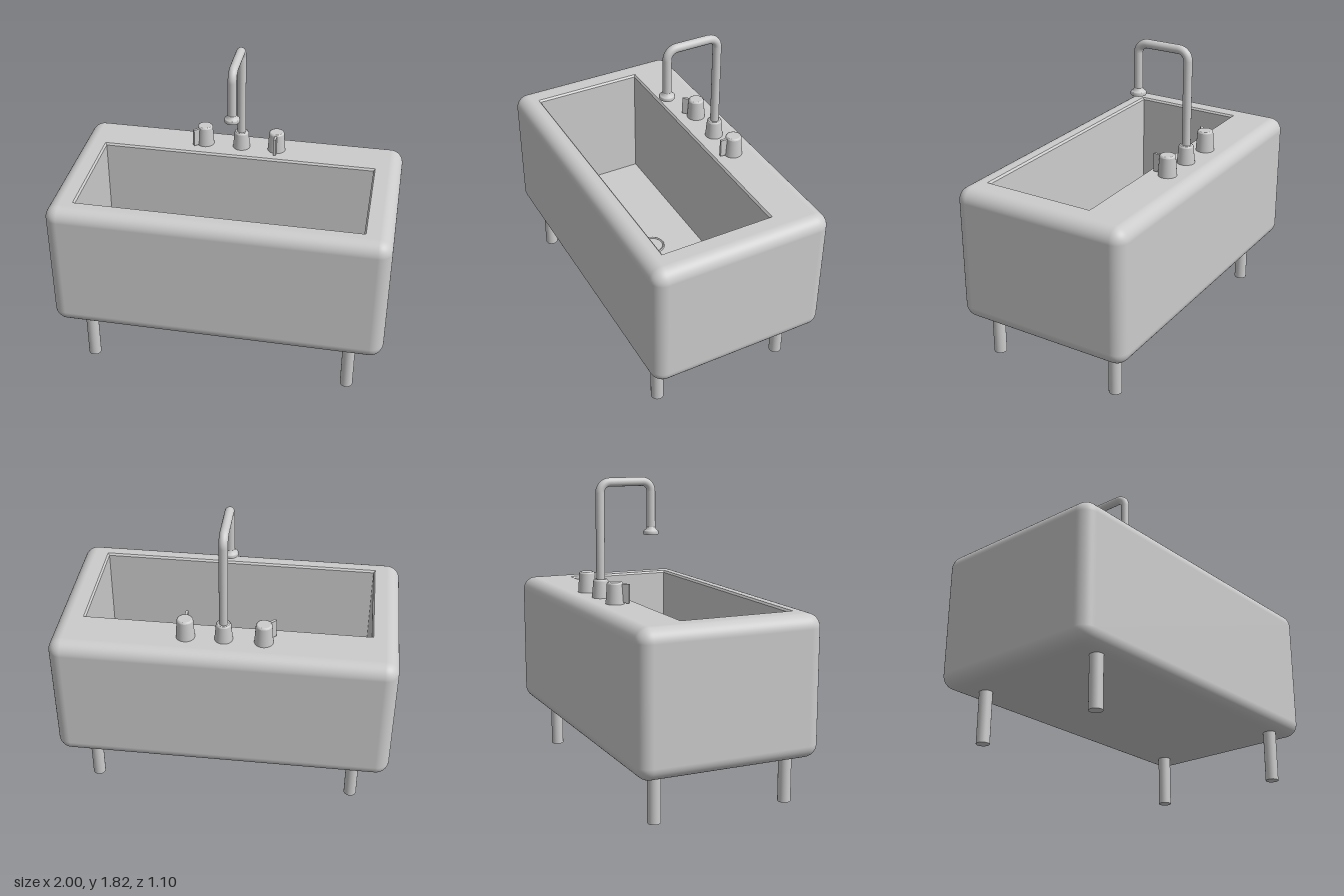
import * as THREE from 'three';
import { RoundedBoxGeometry } from 'three/addons/geometries/RoundedBoxGeometry.js';

const material = new THREE.MeshStandardMaterial({ color: 0xcccccc });
const doubleSided = new THREE.MeshStandardMaterial({ color: 0xcccccc, side: THREE.DoubleSide });

const TOP = 1.12, BOTTOM = 0.3, RADIUS = 0.08, FLOOR = 0.4;
const BASIN = { x0: -0.848, x1: 0.842, z0: -0.253, z1: 0.433 };

function add(parent, name, geometry, x = 0, y = 0, z = 0, mat = material) {
  const mesh = new THREE.Mesh(geometry, mat);
  mesh.name = name;
  mesh.position.set(x, y, z);
  parent.add(mesh);
  return mesh;
}

// Lathe from [radius, height] pairs; doubled points keep edges crisp
function turned(points, segments = 32) {
  return new THREE.LatheGeometry(points.map(([r, y]) => new THREE.Vector2(r, y)), segments);
}

// Rounded box whose flat top face is left out
function openTopBox(w, h, d, r) {
  const source = new RoundedBoxGeometry(w, h, d, 6, r);
  const flat = source.index ? source.toNonIndexed() : source;
  const p = flat.attributes.position, n = flat.attributes.normal;
  const positions = [], normals = [];
  for (let i = 0; i < p.count; i += 3) {
    if ([0, 1, 2].every((k) => p.getY(i + k) > h / 2 - 1e-4)) continue;
    for (let k = i; k < i + 3; k++) {
      positions.push(p.getX(k), p.getY(k), p.getZ(k));
      normals.push(n.getX(k), n.getY(k), n.getZ(k));
    }
  }
  const geometry = new THREE.BufferGeometry();
  geometry.setAttribute('position', new THREE.Float32BufferAttribute(positions, 3));
  geometry.setAttribute('normal', new THREE.Float32BufferAttribute(normals, 3));
  return geometry;
}

// Flat rim with the basin opening cut out
function rimGeometry() {
  const x = 1 - RADIUS, z = 0.55 - RADIUS;
  const shape = new THREE.Shape([[-x, -z], [x, -z], [x, z], [-x, z]].map((c) => new THREE.Vector2(...c)));
  const { x0, x1, z0, z1 } = BASIN;
  shape.holes.push(new THREE.Path([[x0, -z0], [x1, -z0], [x1, -z1], [x0, -z1]].map((c) => new THREE.Vector2(...c))));
  return new THREE.ShapeGeometry(shape).rotateX(-Math.PI / 2);
}

// Basin interior: a small chamfer, straight walls and a flat floor
function basinGeometry() {
  const loops = [[0, TOP], [0.01, TOP - 0.012], [0.012, FLOOR]].map(([inset, y]) => {
    const { x0, x1, z0, z1 } = BASIN;
    return [
      [x0 + inset, y, z0 + inset], [x1 - inset, y, z0 + inset],
      [x1 - inset, y, z1 - inset], [x0 + inset, y, z1 - inset],
    ];
  });
  const positions = [];
  const quad = (a, b, c, d) => positions.push(...a, ...b, ...c, ...a, ...c, ...d);
  for (let i = 0; i < loops.length - 1; i++) {
    for (let j = 0; j < 4; j++) {
      const k = (j + 1) % 4;
      quad(loops[i][j], loops[i + 1][j], loops[i + 1][k], loops[i][k]);
    }
  }
  const [a, b, c, d] = loops[loops.length - 1];
  quad(a, d, c, b);
  const geometry = new THREE.BufferGeometry();
  geometry.setAttribute('position', new THREE.Float32BufferAttribute(positions, 3));
  geometry.computeVertexNormals();
  return geometry;
}

// Tap knob with a thin lever fin pointing outwards at the given angle
function createTap(name, x, angle) {
  const tap = new THREE.Group();
  tap.name = name;
  tap.position.set(x, TOP, -0.37);
  tap.rotation.y = angle;
  add(tap, 'knob', turned([
    [0.055, 0], [0.047, 0.115], [0.047, 0.115], [0.044, 0.122], [0.038, 0.125], [0.038, 0.125], [0, 0.125],
  ]));
  add(tap, 'lever', new THREE.BoxGeometry(0.015, 0.11, 0.055), 0, 0.062, 0.06);
  return tap;
}

function createFaucet() {
  const faucet = new THREE.Group();
  faucet.name = 'faucet';
  const back = -0.367, front = -0.043, top = 1.793, bend = 0.06;
  add(faucet, 'faucetBase', turned([
    [0.053, 0], [0.044, 0.1], [0.044, 0.1], [0.041, 0.107], [0.036, 0.11], [0.036, 0.11], [0, 0.11],
  ]), 0, TOP, back);

  // Spout pipe: straight runs joined by round bends
  const v = (y, z) => new THREE.Vector3(0, y, z);
  const pipe = (curve, steps) => add(faucet, 'spoutPipe', new THREE.TubeGeometry(curve, steps, 0.026, 20));
  const k = bend * 0.4477;
  pipe(new THREE.LineCurve3(v(TOP, back), v(top - bend, back)), 1);
  pipe(new THREE.CubicBezierCurve3(v(top - bend, back), v(top - k, back), v(top, back + k), v(top, back + bend)), 12);
  pipe(new THREE.LineCurve3(v(top, back + bend), v(top, front - bend)), 1);
  pipe(new THREE.CubicBezierCurve3(v(top, front - bend), v(top, front - k), v(top - k, front), v(top - bend, front)), 12);
  pipe(new THREE.LineCurve3(v(top - bend, front), v(1.49, front)), 1);

  // Flared nozzle at the outlet
  add(faucet, 'nozzle', turned([
    [0, 0.012], [0.034, 0.012], [0.034, 0.012], [0.036, 0], [0.036, 0], [0.043, 0], [0.043, 0],
    [0.046, 0.004], [0.046, 0.019], [0.043, 0.023], [0.043, 0.023], [0.032, 0.03], [0.026, 0.045],
  ]), 0, 1.478, front, doubleSided);
  return faucet;
}

export function createModel() {
  const model = new THREE.Group();
  model.name = 'sink';

  // Body
  add(model, 'body', openTopBox(2, TOP - BOTTOM, 1.1, RADIUS), 0, (TOP + BOTTOM) / 2, 0);
  add(model, 'rim', rimGeometry(), 0, TOP, 0);
  add(model, 'basin', basinGeometry());

  // Drain
  add(model, 'drainRing', turned([
    [0.078, 0], [0.078, 0.005], [0.075, 0.009], [0.071, 0.009], [0.067, 0.005], [0.067, 0.002], [0.067, 0.002], [0, 0.002],
  ], 40), 0, FLOOR, 0.06);

  // Legs
  for (const x of [-0.79, 0.8]) {
    for (const z of [0.44, -0.38]) {
      add(model, 'leg', new THREE.CylinderGeometry(0.038, 0.038, BOTTOM + 0.02, 24), x, (BOTTOM + 0.02) / 2, z);
    }
  }

  // Faucet and taps
  model.add(createFaucet());
  model.add(createTap('leftTap', 0.22, 0));
  model.add(createTap('rightTap', -0.23, -Math.PI / 4));
  return model;
}
